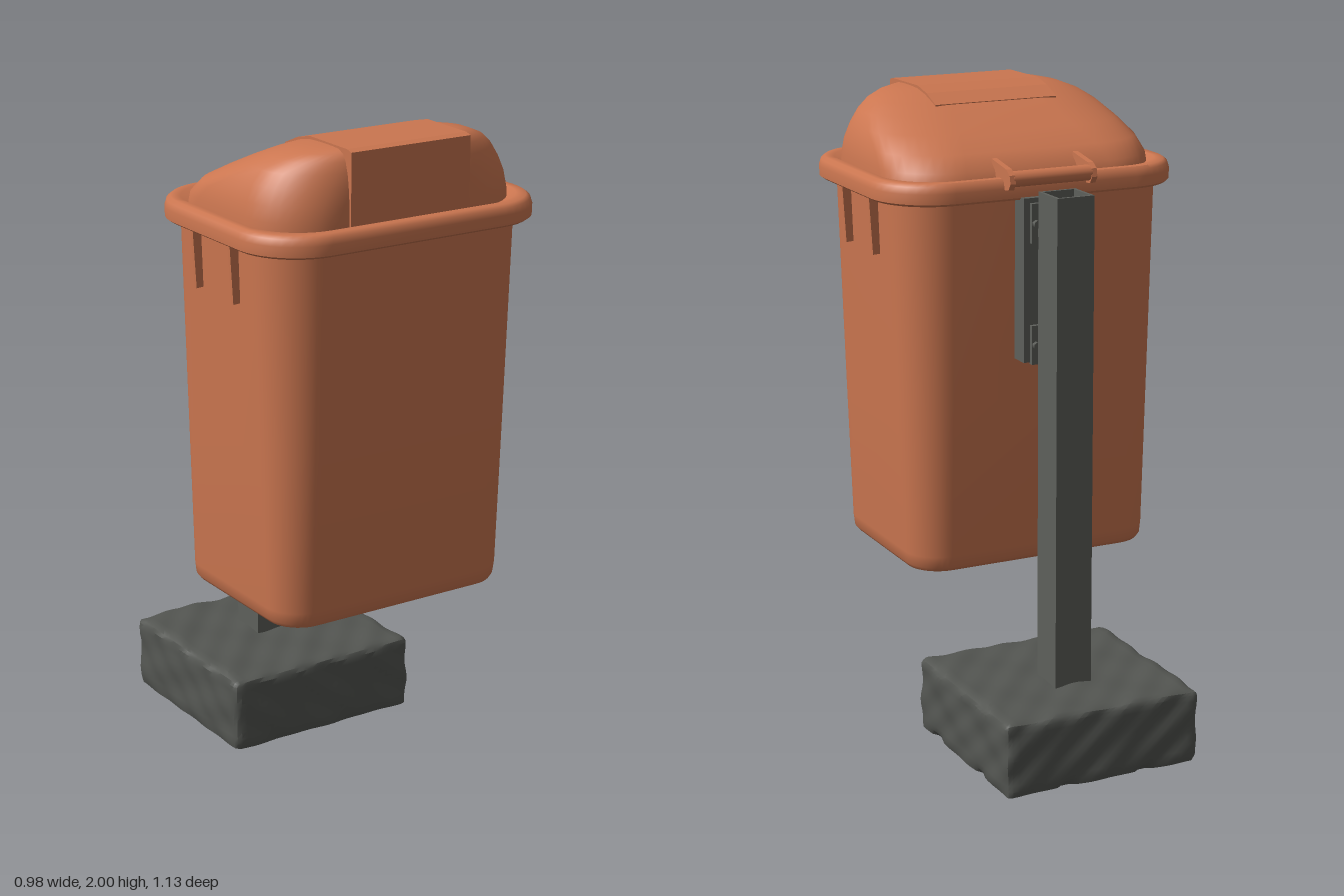
import * as THREE from 'three';
import { mergeVertices, toCreasedNormals } from 'three/addons/utils/BufferGeometryUtils.js';

const mat = (name, color) => new THREE.MeshStandardMaterial({ name, color });

// Skin over rounded rectangles. Ring: [y, halfWidth, zBack, zFront, cornerX, cornerZ]
function loft(rings, crease = 0.7) {
  const per = 10, pos = [], idx = [], n = per * 4 + 4;
  for (const [y, hw, zb, zf, rx, rz] of rings) {
    const zc = (zb + zf) / 2, hz = (zf - zb) / 2;
    for (let q = 0; q < 4; q++) {
      const sx = q === 0 || q === 3 ? 1 : -1, sz = q < 2 ? 1 : -1;
      for (let k = 0; k <= per; k++) {
        const a = (q + k / per) * Math.PI / 2;
        pos.push(sx * (hw - rx) + Math.cos(a) * rx, y, zc + sz * (hz - rz) + Math.sin(a) * rz);
      }
    }
  }
  for (let i = 0; i < rings.length - 1; i++) {
    for (let j = 0; j < n; j++) {
      const a = i * n + j, b = i * n + (j + 1) % n;
      idx.push(a, a + n, b, b, a + n, b + n);
    }
  }
  // end caps
  const last = rings.length - 1;
  for (const r of [0, last]) {
    const c = pos.length / 3, [y, , zb, zf] = rings[r];
    pos.push(0, y, (zb + zf) / 2);
    for (let j = 0; j < n; j++) {
      const a = r * n + j, b = r * n + (j + 1) % n;
      if (r === 0) idx.push(c, a, b); else idx.push(c, b, a);
    }
  }
  const g = new THREE.BufferGeometry();
  g.setAttribute('position', new THREE.Float32BufferAttribute(pos, 3));
  g.setIndex(idx);
  return toCreasedNormals(g, crease);
}

// Side profile of [z, y] points, extruded across x
function sideProfile(points, width) {
  const s = new THREE.Shape(points.map(([z, y]) => new THREE.Vector2(-z, y)));
  const g = new THREE.ExtrudeGeometry(s, { depth: width, bevelEnabled: false });
  return g.translate(0, 0, -width / 2).rotateY(Math.PI / 2);
}

// Rough cast block with worn edges
function roughBlock(w, h, d, r) {
  let g = new THREE.BoxGeometry(w, h, d, 30, 12, 30);
  g.deleteAttribute('uv');
  g.deleteAttribute('normal');
  g = mergeVertices(g);
  const p = g.attributes.position, v = new THREE.Vector3(), c = new THREE.Vector3();
  const inner = new THREE.Vector3(w / 2 - r, h / 2 - r, d / 2 - r);
  for (let i = 0; i < p.count; i++) {
    v.fromBufferAttribute(p, i);
    c.copy(v).clamp(inner.clone().negate(), inner);
    const out = v.clone().sub(c).normalize();
    const bump = Math.sin(v.x * 23 + v.y * 17) * Math.sin(v.z * 19 - v.y * 29 + 1)
      + 0.6 * Math.sin(v.x * 47 + v.z * 41 + v.y * 53);
    v.copy(c).addScaledVector(out, r + bump * 0.004 - 0.003);
    if (v.y < -h / 2 + 0.012) v.y = -h / 2;
    p.setXYZ(i, v.x, v.y, v.z);
  }
  return toCreasedNormals(g, 0.6);
}

export function createModel() {
  const root = new THREE.Group();
  root.name = 'wasteBin';
  const orange = mat('orangePlastic', 0xcb7650);
  const steel = mat('greySteel', 0x5e605b);
  const concrete = mat('darkConcrete', 0x535551);
  const add = (name, geo, m, x = 0, y = 0, z = 0) => {
    const mesh = new THREE.Mesh(geo, m);
    mesh.name = name;
    mesh.position.set(x, y, z);
    root.add(mesh);
    return mesh;
  };
  const box = (w, h, d) => new THREE.BoxGeometry(w, h, d);

  // Foot and hollow post
  add('concreteFoot', roughBlock(0.66, 0.236, 0.636, 0.025), concrete, 0, 0.118, -0.248);
  const square = (C, s) => new C([[-s, -s], [s, -s], [s, s], [-s, s]].map(([x, y]) => new THREE.Vector2(x, y)));
  const section = square(THREE.Shape, 0.061);
  section.holes.push(square(THREE.Path, 0.051));
  const postGeo = new THREE.ExtrudeGeometry(section, { depth: 1.53, bevelEnabled: false });
  add('post', postGeo.rotateX(-Math.PI / 2), steel, 0, 0.22, -0.295);

  // Tapered bin body
  add('binBody', loft([
    [0.568, 0.375, -0.095, 0.455, 0.09, 0.09],
    [0.572, 0.392, -0.11, 0.472, 0.1, 0.1],
    [0.585, 0.402, -0.12, 0.48, 0.11, 0.11],
    [0.62, 0.405, -0.122, 0.484, 0.11, 0.11],
    [1.1, 0.422, -0.13, 0.497, 0.13, 0.13],
    [1.74, 0.442, -0.14, 0.512, 0.15, 0.15],
  ]), orange);

  // Rolled rim
  add('rim', loft([
    [1.72, 0.43, -0.13, 0.5, 0.15, 0.15],
    [1.717, 0.48, -0.17, 0.555, 0.18, 0.18],
    [1.724, 0.49, -0.178, 0.565, 0.19, 0.19],
    [1.755, 0.491, -0.178, 0.565, 0.19, 0.19],
    [1.775, 0.486, -0.174, 0.561, 0.19, 0.19],
    [1.784, 0.474, -0.164, 0.55, 0.18, 0.18],
    [1.784, 0.45, -0.14, 0.525, 0.17, 0.17],
    [1.772, 0.436, -0.125, 0.51, 0.17, 0.17],
  ]), orange);

  // Domed lid sloping to the back
  add('lid', loft([
    [1.765, 0.44, -0.125, 0.505, 0.2, 0.18],
    [1.8, 0.438, -0.115, 0.505, 0.2, 0.18],
    [1.845, 0.43, -0.065, 0.503, 0.21, 0.18],
    [1.89, 0.412, 0.025, 0.5, 0.22, 0.18],
    [1.93, 0.385, 0.11, 0.496, 0.22, 0.17],
    [1.96, 0.345, 0.18, 0.49, 0.2, 0.14],
    [1.98, 0.295, 0.235, 0.482, 0.16, 0.11],
    [1.991, 0.24, 0.28, 0.47, 0.12, 0.08],
    [1.994, 0.19, 0.31, 0.455, 0.09, 0.06],
  ], 0.9), orange);
  add('lidFlap', sideProfile([[0.512, 1.77], [0.512, 1.992], [0.49, 1.998], [0.3, 2.0],
    [0.235, 1.985], [0.17, 1.958], [0.17, 1.93], [0.45, 1.93], [0.45, 1.77]], 0.41), orange);

  // Hinge bar and its arms
  const bar = new THREE.CylinderGeometry(0.024, 0.024, 0.26, 16).rotateZ(Math.PI / 2);
  add('hingeBar', bar, orange, 0, 1.785, -0.192);
  for (const s of [-1, 1]) {
    add('hingeArm', sideProfile([[-0.09, 1.775], [-0.09, 1.832], [-0.19, 1.815], [-0.212, 1.8],
      [-0.218, 1.775], [-0.205, 1.755], [-0.18, 1.752]], 0.018), orange, s * 0.135, 0, 0);
    // Ribs hanging under the rim on each side
    for (const z of [0.285, 0.08]) {
      const rib = add('sideRib', box(0.035, 0.19, 0.012), orange, s * 0.447, 1.635, z);
      rib.rotation.z = -s * 0.06;
    }
  }

  // Mounting bracket: channel, clamps and bolts
  add('bracketPlate', box(0.18, 0.5, 0.022), steel, 0, 1.475, -0.186);
  for (const s of [-1, 1]) add('bracketFlange', box(0.016, 0.5, 0.058), steel, s * 0.082, 1.475, -0.164);
  for (const y of [1.28, 1.65]) {
    add('clampPad', box(0.14, 0.12, 0.018), steel, 0, y, -0.203);
    add('clampBlock', box(0.1, 0.08, 0.035), steel, 0, y, -0.222);
    for (const s of [-1, 1]) {
      const bolt = new THREE.CylinderGeometry(0.012, 0.012, 0.02, 6).rotateX(Math.PI / 2);
      add('bolt', bolt, steel, s * 0.058, y, -0.216);
    }
  }
  return root;
}
